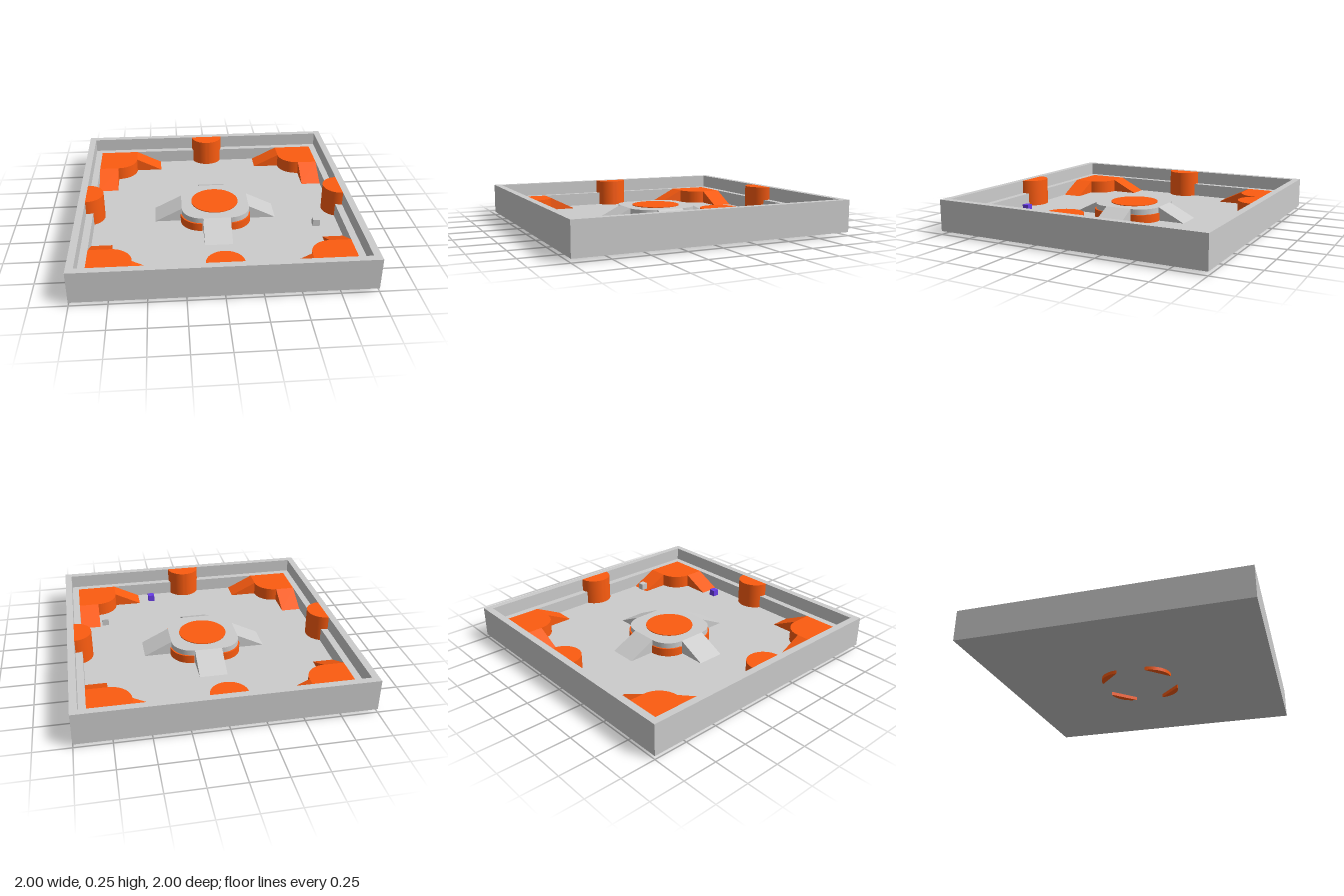
import * as THREE from 'three';
import { toCreasedNormals } from 'three/addons/utils/BufferGeometryUtils.js';

const grey = new THREE.MeshStandardMaterial({ color: 0xcccccc });
const orange = new THREE.MeshStandardMaterial({ color: 0xfc5c10 });
const violet = new THREE.MeshStandardMaterial({ color: 0x6a3de8 });

const BASE = 0.025, FLOOR = 0.05, DECK = 0.15, TOP = 0.25;

// Extrude a plan outline (x, -z) between two heights
function slab(shape, y0, y1) {
  const g = new THREE.ExtrudeGeometry(shape, { depth: y1 - y0, bevelEnabled: false, curveSegments: 20 });
  g.rotateX(-Math.PI / 2).translate(0, y0, 0);
  return toCreasedNormals(g, 0.5);
}

function square(half, Type = THREE.Shape) {
  const s = new Type();
  s.moveTo(-half, -half);
  s.lineTo(half, -half);
  s.lineTo(half, half);
  s.lineTo(-half, half);
  s.closePath();
  return s;
}

function frame(outer, inner, y0, y1) {
  const s = square(outer);
  s.holes.push(square(inner, THREE.Path));
  return slab(s, y0, y1);
}

// Wedge: full height at x = 0, falling to the floor at x = length, width along +z
function wedge(length, width) {
  const s = new THREE.Shape();
  s.moveTo(0, 0);
  s.lineTo(length, 0);
  s.lineTo(0, DECK - FLOOR);
  s.closePath();
  return new THREE.ExtrudeGeometry(s, { depth: width, bevelEnabled: false });
}

function add(parent, name, geometry, material) {
  const mesh = new THREE.Mesh(geometry, material);
  mesh.name = name;
  parent.add(mesh);
  return mesh;
}

export function createModel() {
  const arena = new THREE.Group();
  arena.name = 'arena';

  // Floor, outer wall and the lower ledge inside it
  add(arena, 'floor', slab(square(0.95), BASE, FLOOR), grey);
  add(arena, 'outerWall', frame(1, 0.95, BASE, TOP), grey);
  add(arena, 'ledge', frame(0.95, 0.9, FLOOR, DECK), grey);

  // Corner platform with a rounded inner corner (back right, repeated by turning)
  const corner = new THREE.Shape();
  corner.moveTo(0.9, 0.9);
  corner.lineTo(0.6, 0.9);
  corner.lineTo(0.6, 0.75);
  corner.absarc(0.75, 0.75, 0.15, Math.PI, Math.PI * 1.5, false);
  corner.lineTo(0.9, 0.6);
  corner.closePath();

  // Quarter pillar under each corner of the centre deck
  const quarter = new THREE.Shape();
  quarter.moveTo(0.105, 0.105);
  quarter.absarc(0.105, 0.105, 0.155, 0, Math.PI / 2, false);
  quarter.closePath();

  // Half pillar standing against the wall
  const half = new THREE.Shape();
  half.moveTo(0.95, 0.125);
  half.absarc(0.95, 0, 0.125, Math.PI / 2, Math.PI * 1.5, false);
  half.closePath();

  for (let i = 0; i < 4; i++) {
    const side = new THREE.Group();
    side.name = 'side' + (i + 1);
    side.rotation.y = i * Math.PI / 2;
    arena.add(side);

    add(side, 'cornerPlatform', slab(corner, FLOOR, DECK), orange);
    const rampA = add(side, 'cornerRampAlongX', wedge(0.2, 0.15), orange);
    rampA.rotation.y = Math.PI;
    rampA.position.set(0.6, FLOOR, -0.75);
    const rampB = add(side, 'cornerRampAlongZ', wedge(0.2, 0.15), orange);
    rampB.rotation.y = -Math.PI / 2;
    rampB.position.set(0.9, FLOOR, -0.6);

    add(side, 'wallPillar', slab(half, FLOOR, TOP), orange);
    add(side, 'centrePillar', slab(quarter, 0, 0.11), orange);
    add(side, 'centreRamp', wedge(0.2, 0.2), grey).position.set(0.25, FLOOR, -0.1);
  }

  // Centre deck: square with rounded corners, and its round plate
  const deck = new THREE.Shape();
  for (let i = 0; i < 4; i++) {
    const a = i * Math.PI / 2;
    const cx = 0.1 * (i === 0 || i === 3 ? 1 : -1), cy = 0.1 * (i < 2 ? 1 : -1);
    deck.absarc(cx, cy, 0.15, a, a + Math.PI / 2, false);
  }
  deck.closePath();
  add(arena, 'centreDeck', slab(deck, FLOOR, DECK), grey);
  add(arena, 'centrePlate', new THREE.CylinderGeometry(0.175, 0.175, 0.02, 48), orange)
    .position.y = DECK - 0.005;

  // Two small loose cubes
  const cube = new THREE.BoxGeometry(0.05, 0.05, 0.05);
  add(arena, 'greyCube', cube, grey).position.set(0.71, 0.138, 0.33);
  add(arena, 'violetCube', cube, violet).position.set(0.3, 0.082, 0.78);

  return arena;
}
